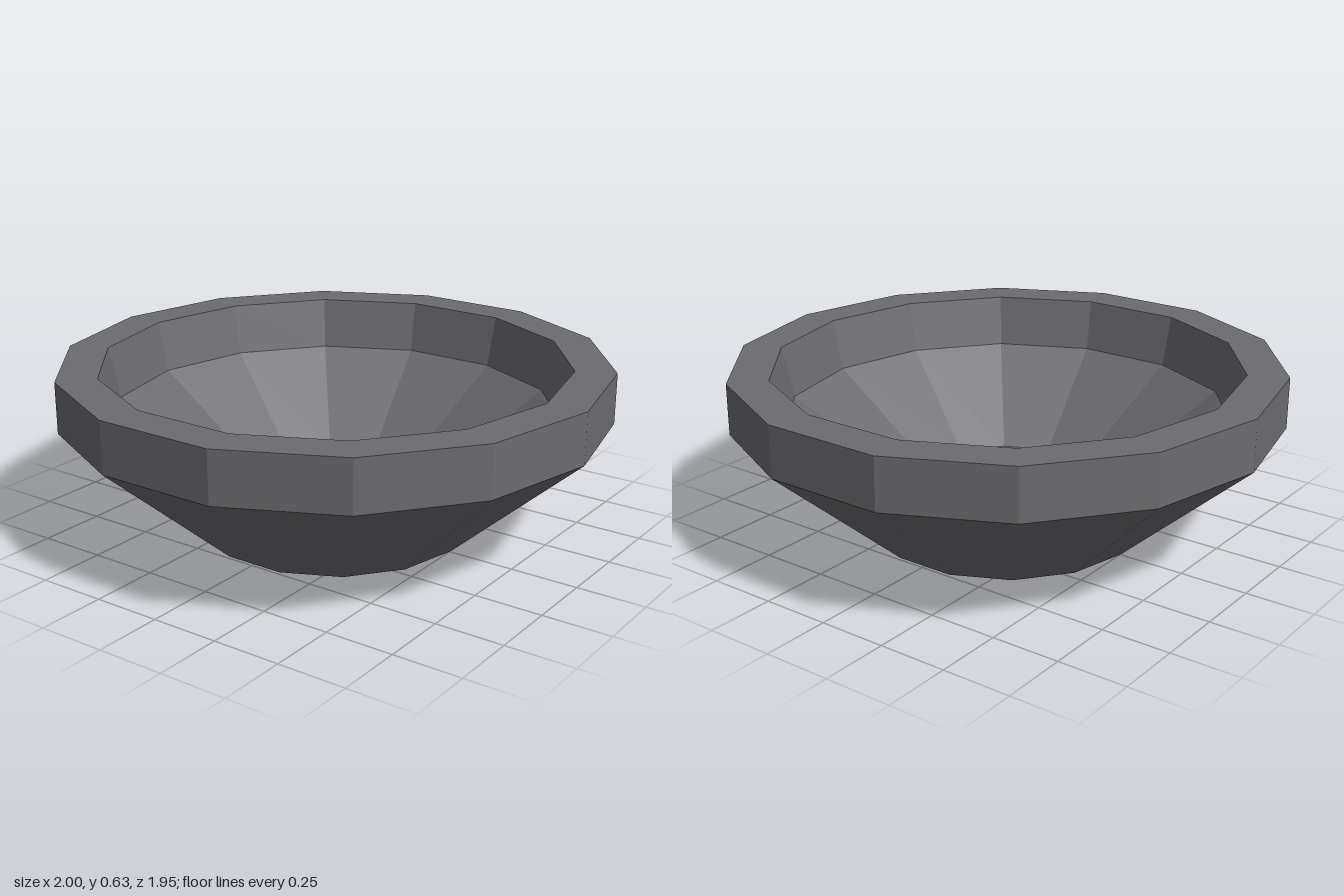
import * as THREE from 'three';

const SIDES = 14;

export function createModel() {
  const group = new THREE.Group();
  group.name = 'bowl';
  const stone = new THREE.MeshStandardMaterial({ color: 0x6c6c70, flatShading: true });
  stone.name = 'grey stone';

  const add = (name, geometry) => {
    const mesh = new THREE.Mesh(geometry, stone);
    mesh.name = name;
    group.add(mesh);
    return mesh;
  };
  // Faceted ring swept from [radius, height] points, with a corner on the x axis
  const ring = (name, points) => {
    const profile = points.map(([r, y]) => new THREE.Vector2(r, y));
    const geometry = new THREE.LatheGeometry(profile, SIDES, Math.PI / 2).toNonIndexed();
    geometry.computeVertexNormals();
    return add(name, geometry);
  };
  // Flat polygon closing the bowl, facing up or down
  const disc = (name, radius, y, up) => {
    const geometry = new THREE.CircleGeometry(radius, SIDES);
    geometry.rotateX(up ? -Math.PI / 2 : Math.PI / 2);
    add(name, geometry).position.y = y;
  };

  disc('base', 0.5, 0, false);
  ring('outerWall', [[0.5, 0], [1, 0.44]]);
  ring('rim', [[1, 0.44], [1, 0.627], [0.853, 0.627], [0.812, 0.438]]);
  ring('innerWall', [[0.812, 0.438], [0.4, 0.14]]);
  disc('floor', 0.4, 0.14, true);

  return group;
}
